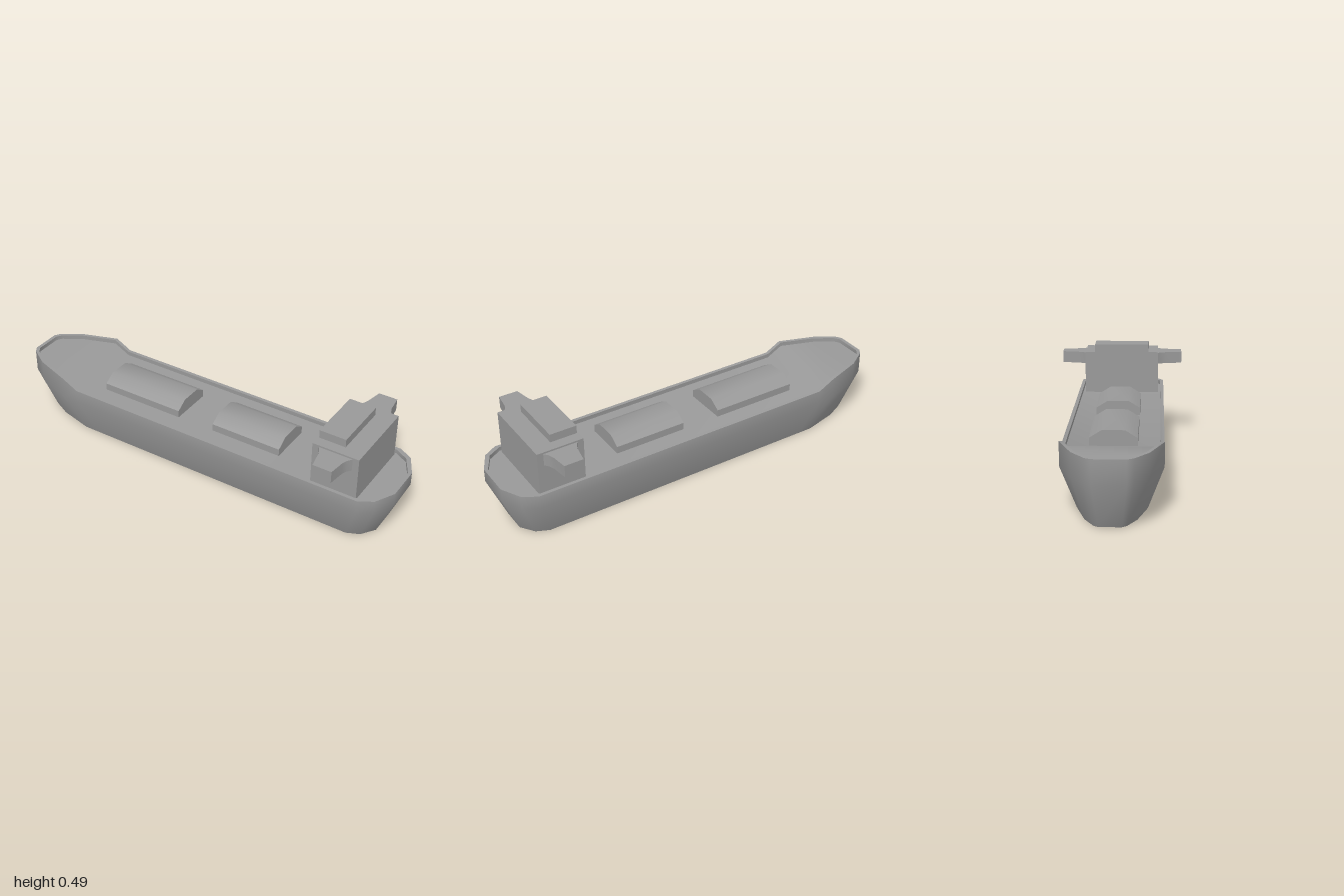
import * as THREE from 'three';
import { toCreasedNormals } from 'three/addons/utils/BufferGeometryUtils.js';

const paint = new THREE.MeshStandardMaterial({ color: 0x999999 });

function addMesh(parent, name, geometry) {
  const mesh = new THREE.Mesh(geometry, paint);
  mesh.name = name;
  parent.add(mesh);
  return mesh;
}

function box(parent, name, x0, x1, y0, y1, halfZ) {
  const mesh = addMesh(parent, name, new THREE.BoxGeometry(x1 - x0, y1 - y0, halfZ * 2));
  mesh.position.set((x0 + x1) / 2, (y0 + y1) / 2, 0);
}

// Hull stations from bow to stern: x, half width, rim height
const stations = [
  [-1, 0.07, 0.304], [-0.982, 0.098, 0.304], [-0.89, 0.158, 0.304], [-0.71, 0.219, 0.304],
  [-0.63, 0.219, 0.262], [0.885, 0.219, 0.262], [0.95, 0.18, 0.262], [1, 0.085, 0.262],
];

function hullGeometry() {
  // Only the ends of the bulwark are inset lengthwise
  const insetX = x => (Math.abs(x) > 0.8 ? x * 0.983 : x);
  // Each ring: length rule, width scale, height rule
  const levels = [
    [x => x * 0.915 + 0.005, 0.685, () => 0],
    [x => x, 1, () => 0.198],
    [x => x, 1, rim => rim],
    [insetX, 0.925, rim => rim],
    [insetX, 0.925, rim => rim - 0.02],
  ];
  const n = stations.length;
  const rings = levels.map(([along, sz, height]) => {
    const port = stations.map(([x, z, rim]) => [along(x), height(rim), z * sz]);
    const starboard = port.map(([x, y, z]) => [x, y, -z]).reverse();
    return [...port, ...starboard];
  });
  const positions = [];
  const quad = (a, b, c, d) => positions.push(...a, ...b, ...c, ...a, ...c, ...d);

  // Sides, rim and inside of the bulwark
  for (let r = 0; r < rings.length - 1; r++) {
    for (let i = 0; i < 2 * n; i++) {
      const j = (i + 1) % (2 * n);
      quad(rings[r][i], rings[r][j], rings[r + 1][j], rings[r + 1][i]);
    }
  }
  // Bottom and deck, spanned from side to side
  const bottom = rings[0], deck = rings[rings.length - 1];
  for (let i = 0; i < n - 1; i++) {
    const p = 2 * n - 1 - i;
    quad(deck[i], deck[i + 1], deck[p - 1], deck[p]);
    quad(bottom[p], bottom[p - 1], bottom[i + 1], bottom[i]);
  }
  const geometry = new THREE.BufferGeometry();
  geometry.setAttribute('position', new THREE.Float32BufferAttribute(positions, 3));
  return toCreasedNormals(geometry, 0.95);
}

// Cargo hatch with a chamfered, softly rounded cover
function hatchGeometry(length) {
  const profile = [[-0.105, 0.235], [0.105, 0.235], [0.105, 0.277], [0.05, 0.311], [-0.05, 0.311], [-0.105, 0.277]];
  const shape = new THREE.Shape(profile.map(p => new THREE.Vector2(...p)));
  const geometry = new THREE.ExtrudeGeometry(shape, { depth: length, bevelEnabled: false });
  return toCreasedNormals(geometry.rotateY(Math.PI / 2), 0.7);
}

// Bridge wing flaring into the wall of the deckhouse
function wingGeometry(side) {
  const plan = [[0.67, 0.185], [0.687, 0.21], [0.696, 0.235], [0.711, 0.313], [0.801, 0.313], [0.811, 0.235], [0.82, 0.21], [0.84, 0.185]];
  const shape = new THREE.Shape(plan.map(([x, z]) => new THREE.Vector2(x, z * side)));
  const geometry = new THREE.ExtrudeGeometry(shape, { depth: 0.058, bevelEnabled: false });
  return toCreasedNormals(geometry.rotateX(Math.PI / 2).translate(0, 0.447, 0), 0.7);
}

export function createModel() {
  const ship = new THREE.Group();
  ship.name = 'cargoShip';

  addMesh(ship, 'hull', hullGeometry());

  for (const [name, x0, x1] of [['foreHatch', -0.535, -0.11], ['aftHatch', 0.08, 0.435]]) {
    addMesh(ship, name, hatchGeometry(x1 - x0)).position.x = x0;
  }

  const bridge = new THREE.Group();
  bridge.name = 'bridge';
  ship.add(bridge);
  box(bridge, 'deckhouse', 0.643, 0.866, 0.235, 0.455, 0.19);
  box(bridge, 'wheelhouseRoof', 0.648, 0.776, 0.45, 0.494, 0.14);
  addMesh(bridge, 'leftBridgeWing', wingGeometry(1));
  addMesh(bridge, 'rightBridgeWing', wingGeometry(-1));

  return ship;
}
